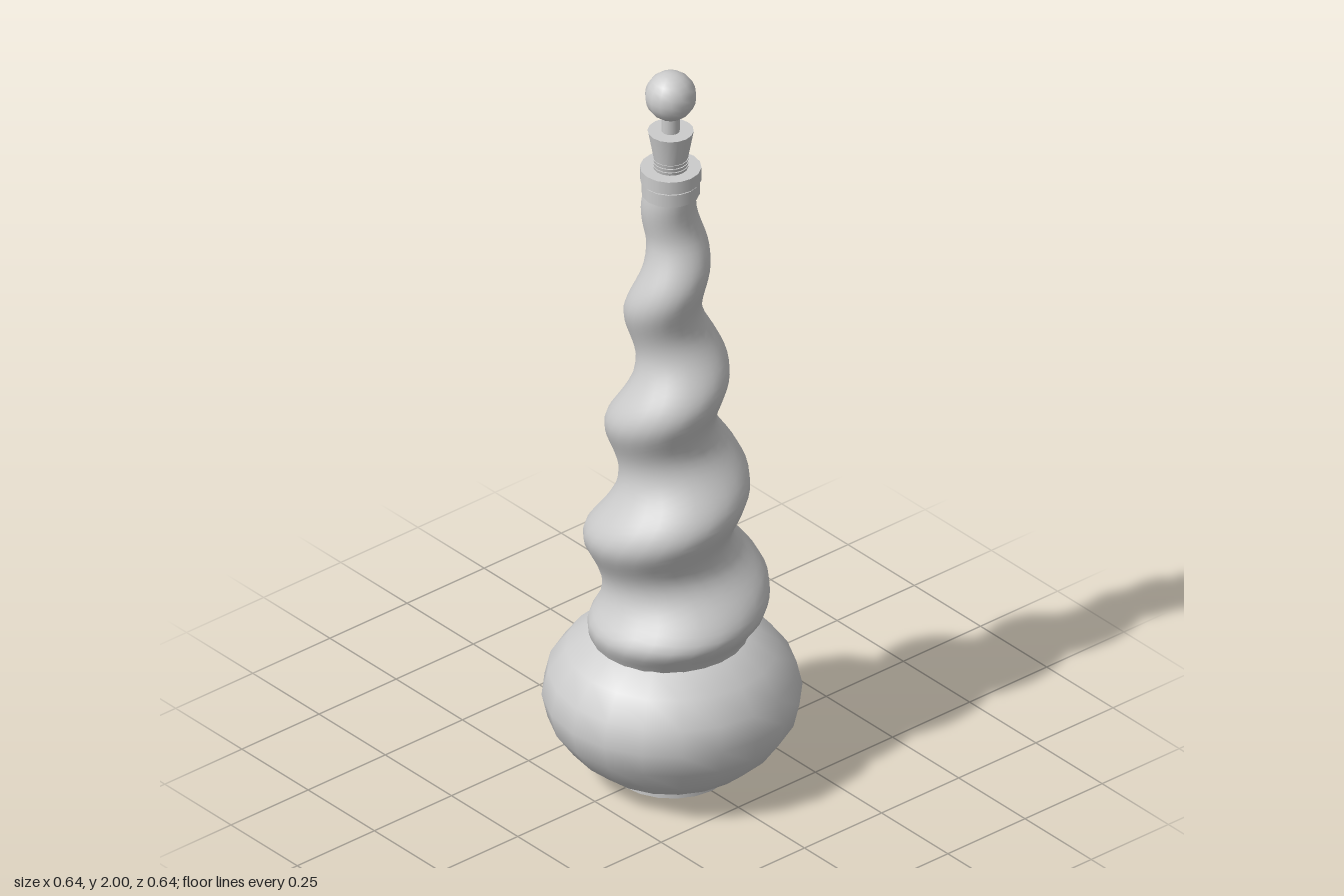
import * as THREE from 'three';
import { mergeVertices } from 'three/addons/utils/BufferGeometryUtils.js';

const material = new THREE.MeshStandardMaterial({ color: 0xcccccc, side: THREE.DoubleSide });
const NECK = { x: 0.006, z: -0.012 }; // axis of the neck and stopper

// Linear interpolation through rows of [y, value]
function sample(rows, y) {
  for (let i = 1; i < rows.length; i++) {
    const [y0, v0] = rows[i - 1], [y1, v1] = rows[i];
    if (y <= y1) return THREE.MathUtils.lerp(v0, v1, Math.max(0, (y - y0) / (y1 - y0)));
  }
  return rows[rows.length - 1][1];
}

// Tapering column whose circular section circles round the axis as it rises
function spiralGeometry() {
  const bottom = 0.36, top = 1.68, pitch = 0.323;
  const radius = [[0.36, 0.19], [0.4, 0.197], [0.46, 0.212], [0.56, 0.204], [0.73, 0.179],
    [0.88, 0.157], [1.21, 0.11], [1.53, 0.075], [1.68, 0.064]];
  const offset = [[0.38, 0.004], [0.48, 0.033], [0.56, 0.036], [0.88, 0.029], [1.21, 0.025],
    [1.53, 0.016], [1.68, 0]];
  let g = new THREE.CylinderGeometry(1, 1, 1, 24, 72, true);
  g.deleteAttribute('normal');
  g.deleteAttribute('uv');
  g = mergeVertices(g);
  const p = g.attributes.position;
  for (let i = 0; i < p.count; i++) {
    const y = THREE.MathUtils.lerp(bottom, top, p.getY(i) + 0.5);
    const r = sample(radius, y), e = sample(offset, y);
    const turn = 2 * Math.PI * (y - 0.56) / pitch;
    const lean = THREE.MathUtils.smoothstep(y, 1.2, top);
    p.setXYZ(i,
      p.getX(i) * r + e * Math.cos(turn) + NECK.x * lean,
      y,
      p.getZ(i) * r - e * Math.sin(turn) + NECK.z * lean);
  }
  g.computeVertexNormals();
  return g;
}

export function createModel() {
  const model = new THREE.Group();
  model.name = 'spiralBottle';

  function add(name, geometry, parent = model, y = 0) {
    const mesh = new THREE.Mesh(geometry, material);
    mesh.name = name;
    mesh.position.y = y;
    parent.add(mesh);
    return mesh;
  }
  // Straight or tapered disc between two heights
  const disc = (name, parent, y0, y1, r0, r1 = r0, sides = 16) =>
    add(name, new THREE.CylinderGeometry(r1, r0, y1 - y0, sides), parent, (y0 + y1) / 2);

  // Foot and bulb
  disc('foot', model, 0, 0.025, 0.15, 0.15, 20);
  const bulb = [[0.145, 0.016], [0.205, 0.045], [0.262, 0.095], [0.307, 0.16], [0.322, 0.225],
    [0.307, 0.29], [0.262, 0.352], [0.2, 0.398], [0.17, 0.405]];
  add('bulb', new THREE.LatheGeometry(bulb.map(([x, y]) => new THREE.Vector2(x, y)), 20));

  // Twisted body
  add('spiralBody', spiralGeometry());

  // Neck collar in two bands with a thin groove between
  const neck = new THREE.Group();
  neck.name = 'neck';
  neck.position.set(NECK.x, 0, NECK.z);
  model.add(neck);
  disc('lowerBand', neck, 1.655, 1.69, 0.072);
  disc('groove', neck, 1.688, 1.697, 0.068);
  disc('upperBand', neck, 1.695, 1.73, 0.076);

  // Stopper with ridges, tapered plug, stem and ball
  const stopper = new THREE.Group();
  stopper.name = 'stopper';
  stopper.position.copy(neck.position);
  model.add(stopper);
  for (let i = 0; i < 3; i++) {
    disc('ridge', stopper, 1.729 + i * 0.01, 1.738 + i * 0.01, 0.043, 0.045);
  }
  disc('plug', stopper, 1.72, 1.835, 0.036, 0.057);
  disc('stem', stopper, 1.83, 1.89, 0.023, 0.023, 12);
  add('ball', new THREE.SphereGeometry(0.064, 14, 12), stopper, 1.936);

  return model;
}
